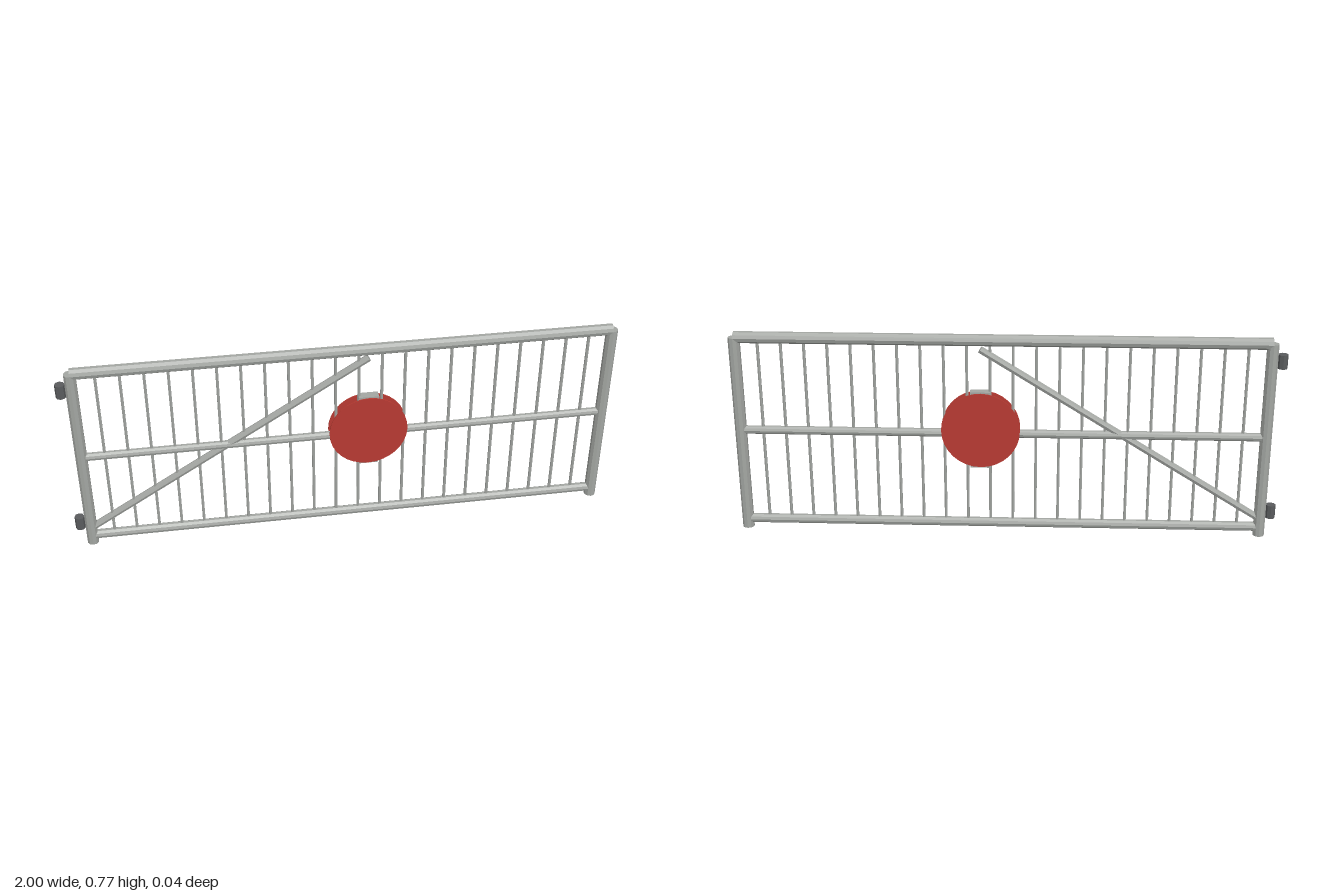
import * as THREE from 'three';

const galvanized = new THREE.MeshStandardMaterial({ color: 0xa3a6a2, flatShading: true });
galvanized.name = 'galvanized steel';
const hingeSteel = new THREE.MeshStandardMaterial({ color: 0x5a5c5e, flatShading: true });
hingeSteel.name = 'dark hinge steel';
const signRed = new THREE.MeshStandardMaterial({ color: 0xb83a32, flatShading: true });
signRed.name = 'sign red';

const LEFT = -0.944, RIGHT = 0.979, TOP = 0.753;

export function createModel() {
  const gate = new THREE.Group();
  gate.name = 'gate';

  const add = (name, geometry, material, x, y, z) => {
    const mesh = new THREE.Mesh(geometry, material);
    mesh.name = name;
    mesh.position.set(x, y, z);
    gate.add(mesh);
    return mesh;
  };

  // Straight pipe between two points in the gate plane
  const pipe = (name, x1, y1, x2, y2, radius, sides, material = galvanized) => {
    const length = Math.hypot(x2 - x1, y2 - y1);
    const mesh = add(name, new THREE.CylinderGeometry(radius, radius, length, sides),
      material, (x1 + x2) / 2, (y1 + y2) / 2, 0);
    mesh.rotation.z = Math.atan2(y2 - y1, x2 - x1) - Math.PI / 2;
    return mesh;
  };

  // Frame: end posts and rails
  pipe('hingePost', LEFT, 0, LEFT, TOP, 0.0215, 10);
  pipe('latchPost', RIGHT, 0, RIGHT, TOP, 0.0215, 10);
  pipe('topRail', LEFT, TOP, RIGHT, TOP, 0.0215, 10);
  pipe('middleRail', LEFT, 0.395, RIGHT, 0.395, 0.0155, 10);
  pipe('bottomRail', LEFT, 0.034, RIGHT, 0.034, 0.0175, 10);

  // Diagonal brace
  pipe('diagonalBrace', LEFT, 0.066, 0.094, 0.718, 0.0135, 8);

  // Evenly spaced thin bars
  const gaps = 23;
  for (let i = 1; i < gaps; i++) {
    const x = LEFT + (RIGHT - LEFT) * i / gaps;
    pipe('verticalBar', x, 0.034, x, TOP, 0.0058, 6);
  }

  // Hinge barrels beside the hinge post
  for (const y of [0.099, 0.688]) {
    pipe('hinge', -0.982, y - 0.026, -0.982, y + 0.026, 0.0182, 8, hingeSteel);
  }

  // Round sign: a disc on each face, joined by clips at top and bottom
  const signX = 0.094, signY = 0.411, signRadius = 0.144;
  for (const side of [-1, 1]) {
    const disc = new THREE.CylinderGeometry(signRadius, signRadius, 0.004, 32);
    disc.rotateX(Math.PI / 2);
    add(side > 0 ? 'frontSignDisc' : 'backSignDisc', disc, signRed, signX, signY, side * 0.018);
    add('signClip', new THREE.BoxGeometry(0.075, 0.012, 0.032), galvanized,
      signX, signY + side * (signRadius - 0.002), 0);
  }

  return gate;
}
